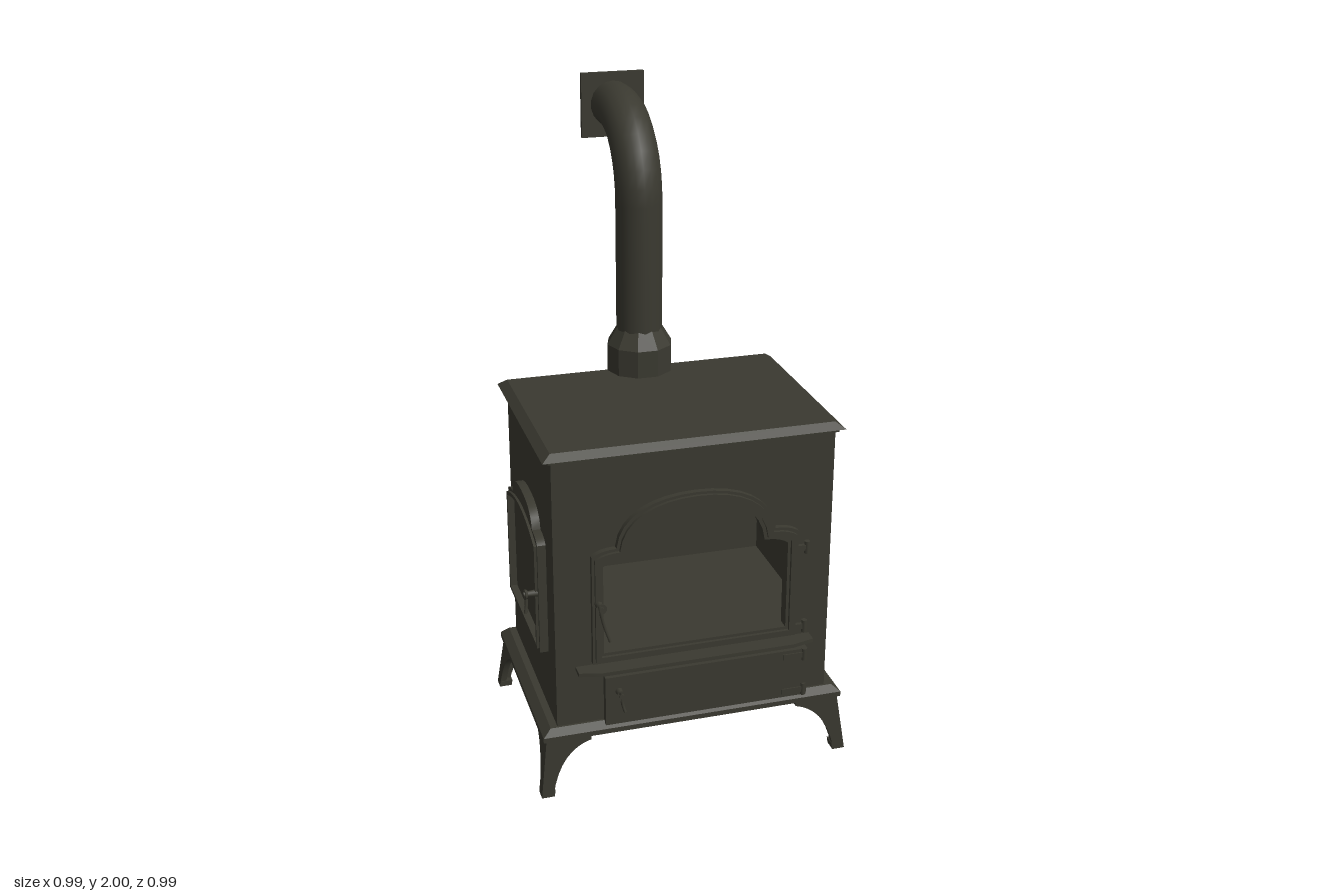
import * as THREE from 'three';
import { toCreasedNormals } from 'three/addons/utils/BufferGeometryUtils.js';

const iron = new THREE.MeshStandardMaterial({ color: 0x3a3930 });
iron.name = 'dark cast iron';
const CZ = 0.12; // middle of the stove body in z

function add(parent, name, geo, x = 0, y = 0, z = 0) {
  const mesh = new THREE.Mesh(geo, iron);
  mesh.name = name;
  mesh.position.set(x, y, z);
  parent.add(mesh);
  return mesh;
}
const box = (w, h, d) => new THREE.BoxGeometry(w, h, d);

function extrude(shape, depth) {
  const g = new THREE.ExtrudeGeometry(shape, { depth, bevelEnabled: false, curveSegments: 8 });
  return toCreasedNormals(g, 0.5);
}

// Plate with sloping edges, half sizes given for the bottom and the top
function slopedPlate(bottom, top, h) {
  const g = box(2, h, 2);
  const p = g.attributes.position;
  for (let i = 0; i < p.count; i++) {
    const s = p.getY(i) > 0 ? top : bottom;
    p.setX(i, p.getX(i) * s[0]);
    p.setZ(i, p.getZ(i) * s[1]);
  }
  g.computeVertexNormals();
  return g;
}

// Door outline with shoulders and a raised arch, shrunk by d
function archOutline(a, d, Type = THREE.Shape) {
  const w = a.w - d, y0 = a.y0 + d, ys = a.ys - d, c = a.c - d, top = a.top - d;
  const s = new Type();
  s.moveTo(-w, y0);
  s.lineTo(w, y0);
  s.lineTo(w, ys);
  s.quadraticCurveTo(c + 0.05, ys + 0.02, c, ys + 0.02);
  s.bezierCurveTo(c - 0.01, ys + 0.02 + (top - ys) * 0.6, c * 0.55, top, 0, top);
  s.bezierCurveTo(-c * 0.55, top, -c + 0.01, ys + 0.02 + (top - ys) * 0.6, -c, ys + 0.02);
  s.quadraticCurveTo(-c - 0.05, ys + 0.02, -w, ys);
  s.closePath();
  return s;
}

// Plain window outline with a low arch
function lowArch(w, y0, ys, top, Type = THREE.Shape) {
  const s = new Type();
  s.moveTo(-w, y0);
  s.lineTo(w, y0);
  s.lineTo(w, ys);
  s.quadraticCurveTo(w * 0.5, top, 0, top);
  s.quadraticCurveTo(-w * 0.5, top, -w, ys);
  s.closePath();
  return s;
}

function withHole(shape, hole) {
  shape.holes.push(hole);
  return shape;
}

// Hinge: upright barrel and a strap reaching towards the door
function hinge(parent, x, y, z, reach) {
  add(parent, 'hingeBarrel', new THREE.CylinderGeometry(0.009, 0.009, 0.04, 8), x, y, z);
  add(parent, 'hingeStrap', box(Math.abs(reach), 0.018, 0.012), x + reach / 2, y, z);
}

// Latch handle: shaft, knob and a thin lever hanging from it
function handle(parent, x, y, z, length, drop, slant) {
  const g = new THREE.Group();
  g.name = 'latchHandle';
  g.position.set(x, y, z);
  parent.add(g);
  add(g, 'latchShaft', new THREE.CylinderGeometry(0.008, 0.012, length, 8), 0, 0, length / 2).rotation.x = Math.PI / 2;
  add(g, 'latchKnob', new THREE.CylinderGeometry(0.017, 0.013, 0.008, 10), 0, 0, length - 0.008).rotation.x = Math.PI / 2;
  const path = new THREE.CatmullRomCurve3([
    new THREE.Vector3(-slant * 0.3, 0.015, length - 0.005),
    new THREE.Vector3(slant * 0.3, -drop * 0.5, length - 0.008),
    new THREE.Vector3(slant, -drop, length - 0.003)]);
  add(g, 'latchLever', new THREE.TubeGeometry(path, 6, 0.005, 6));
}

// Splayed corner leg made of two curved brackets and a foot
function legGeometries() {
  const s = new THREE.Shape();
  s.moveTo(-0.14, 0.185);
  s.lineTo(-0.14, 0.168);
  s.bezierCurveTo(-0.085, 0.155, -0.04, 0.11, -0.036, 0);
  s.lineTo(0, 0);
  s.lineTo(0, 0.185);
  s.closePath();
  const front = extrude(s, 0.02).translate(0, 0, -0.02);
  const side = front.clone().rotateY(-Math.PI / 2).translate(-0.02, 0, 0);
  side.translate(0, 0, 0);
  const bounds = new THREE.Box3().setFromBufferAttribute(side.attributes.position);
  side.translate(-bounds.max.x, 0, -bounds.max.z);
  const foot = box(0.04, 0.02, 0.04).translate(-0.02, 0.01, -0.02);
  return [front, side, foot].map((g) => {
    const p = g.attributes.position;
    for (let i = 0; i < p.count; i++) {
      const out = 0.024 * (1 - p.getY(i) / 0.185);
      p.setX(i, p.getX(i) + out);
      p.setZ(i, p.getZ(i) + out);
    }
    return g;
  });
}

export function createModel() {
  const stove = new THREE.Group();
  stove.name = 'woodStove';

  // Legs
  const parts = legGeometries();
  for (const sx of [1, -1]) for (const sz of [1, -1]) {
    const leg = new THREE.Group();
    leg.name = 'leg';
    leg.position.set(sx * 0.468, 0, CZ + sz * 0.326);
    leg.scale.set(sx, 1, sz);
    parts.forEach((g, i) => add(leg, ['legFrontBracket', 'legSideBracket', 'foot'][i], g));
    stove.add(leg);
  }

  // Base and top plates
  add(stove, 'baseLip', box(0.956, 0.016, 0.664), 0, 0.19, CZ);
  add(stove, 'basePlate', slopedPlate([0.478, 0.332], [0.452, 0.315], 0.022), 0, 0.209, CZ);
  add(stove, 'topLip', slopedPlate([0.457, 0.326], [0.43, 0.303], 0.02), 0, 1.103, CZ);
  add(stove, 'topUnderside', box(0.88, 0.012, 0.63), 0, 1.089, CZ);

  // Hollow firebox
  const front = { w: 0.32, y0: 0.425, ys: 0.78, c: 0.245, top: 0.95 };
  const wall = new THREE.Shape();
  wall.moveTo(-0.43, 0.21);
  wall.lineTo(0.43, 0.21);
  wall.lineTo(0.43, 1.09);
  wall.lineTo(-0.43, 1.09);
  wall.closePath();
  add(stove, 'frontWall', extrude(withHole(wall, archOutline(front, 0.034, THREE.Path)), 0.02), 0, 0, 0.408);
  add(stove, 'backWall', box(0.86, 0.88, 0.02), 0, 0.65, -0.175);
  for (const s of [1, -1]) add(stove, 'sideWall', box(0.02, 0.88, 0.575), s * 0.42, 0.65, CZ + 0.002);
  add(stove, 'fireboxFloor', box(0.83, 0.02, 0.58), 0, 0.41, CZ);

  // Arched front door
  const door = new THREE.Group();
  door.name = 'frontDoor';
  door.position.z = 0.428;
  stove.add(door);
  add(door, 'doorFrame', extrude(withHole(archOutline(front, 0), archOutline(front, 0.034, THREE.Path)), 0.018));
  add(door, 'doorMoulding', extrude(withHole(archOutline(front, 0.008), archOutline(front, 0.025, THREE.Path)), 0.028));
  hinge(door, 0.35, 0.72, 0.012, -0.04);
  hinge(door, 0.35, 0.45, 0.012, -0.04);
  handle(door, -0.302, 0.63, 0.018, 0.044, 0.11, 0.025);

  // Ash shelf with cut corners
  const shelf = new THREE.Shape();
  [[-0.37, -0.43], [0.37, -0.43], [0.37, -0.47], [0.3, -0.487], [-0.3, -0.487], [-0.37, -0.47]]
    .forEach(([x, y], i) => (i ? shelf.lineTo(x, y) : shelf.moveTo(x, y)));
  shelf.closePath();
  add(stove, 'ashShelf', extrude(shelf, 0.012).rotateX(-Math.PI / 2), 0, 0.405, 0);

  // Ash door
  const ash = new THREE.Group();
  ash.name = 'ashDoor';
  ash.position.z = 0.428;
  stove.add(ash);
  add(ash, 'ashDoorPanel', box(0.645, 0.163, 0.024), 0.038, 0.293, 0.012);
  hinge(ash, 0.35, 0.355, 0.022, -0.07);
  hinge(ash, 0.35, 0.232, 0.022, -0.07);
  handle(ash, -0.243, 0.325, 0.02, 0.04, 0.055, 0.01);

  // Arched side doors
  const side = { w: 0.213, y0: 0.425, ys: 0.783, c: 0.145, top: 0.87 };
  for (const s of [1, -1]) {
    const g = new THREE.Group();
    g.name = s > 0 ? 'leftSideDoor' : 'rightSideDoor';
    g.position.set(s * 0.43, 0, CZ);
    g.rotation.y = s * Math.PI / 2;
    stove.add(g);
    add(g, 'sideDoorFrame', extrude(withHole(archOutline(side, 0), lowArch(0.192, 0.445, 0.768, 0.808, THREE.Path)), 0.026));
    add(g, 'sideDoorMoulding', extrude(withHole(lowArch(0.203, 0.435, 0.777, 0.82), lowArch(0.192, 0.445, 0.768, 0.808, THREE.Path)), 0.034));
    add(g, 'sideDoorPanel', extrude(lowArch(0.194, 0.443, 0.77, 0.81), 0.012));
    if (s < 0) {
      hinge(g, -0.225, 0.74, 0.012, 0.03);
      hinge(g, -0.225, 0.48, 0.012, 0.03);
      handle(g, 0.195, 0.62, 0.025, 0.043, 0.06, 0.008);
    }
  }

  // Rear heat shield with a sloping top
  const shield = new THREE.Shape();
  [[0.18, 0.365], [0.293, 0.365], [0.293, 0.99], [0.18, 1.07]]
    .forEach(([x, y], i) => (i ? shield.lineTo(x, y) : shield.moveTo(x, y)));
  shield.closePath();
  add(stove, 'heatShield', extrude(shield, 0.81).rotateY(Math.PI / 2), -0.405, 0, 0);

  // Flue collar, bent pipe and wall plate
  const profile = [[0, 0.95], [0.105, 0.95], [0.105, 1.2], [0.072, 1.255], [0, 1.255]].map(([x, y]) => new THREE.Vector2(x, y));
  const collar = new THREE.LatheGeometry(profile, 10, Math.PI / 2);
  add(stove, 'flueCollar', toCreasedNormals(collar, 0.5), 0, 0, -0.177);
  const V = (y, z) => new THREE.Vector3(0, y, z);
  const path = new THREE.CurvePath();
  path.add(new THREE.LineCurve3(V(1.2, -0.177), V(1.66, -0.177)));
  path.add(new THREE.CubicBezierCurve3(V(1.66, -0.177), V(1.8, -0.177), V(1.9, -0.29), V(1.9, -0.43)));
  path.add(new THREE.LineCurve3(V(1.9, -0.43), V(1.9, -0.485)));
  add(stove, 'fluePipe', new THREE.TubeGeometry(path, 20, 0.073, 18));
  add(stove, 'wallPlate', box(0.206, 0.205, 0.015), 0, 1.8975, -0.4875);

  return stove;
}
